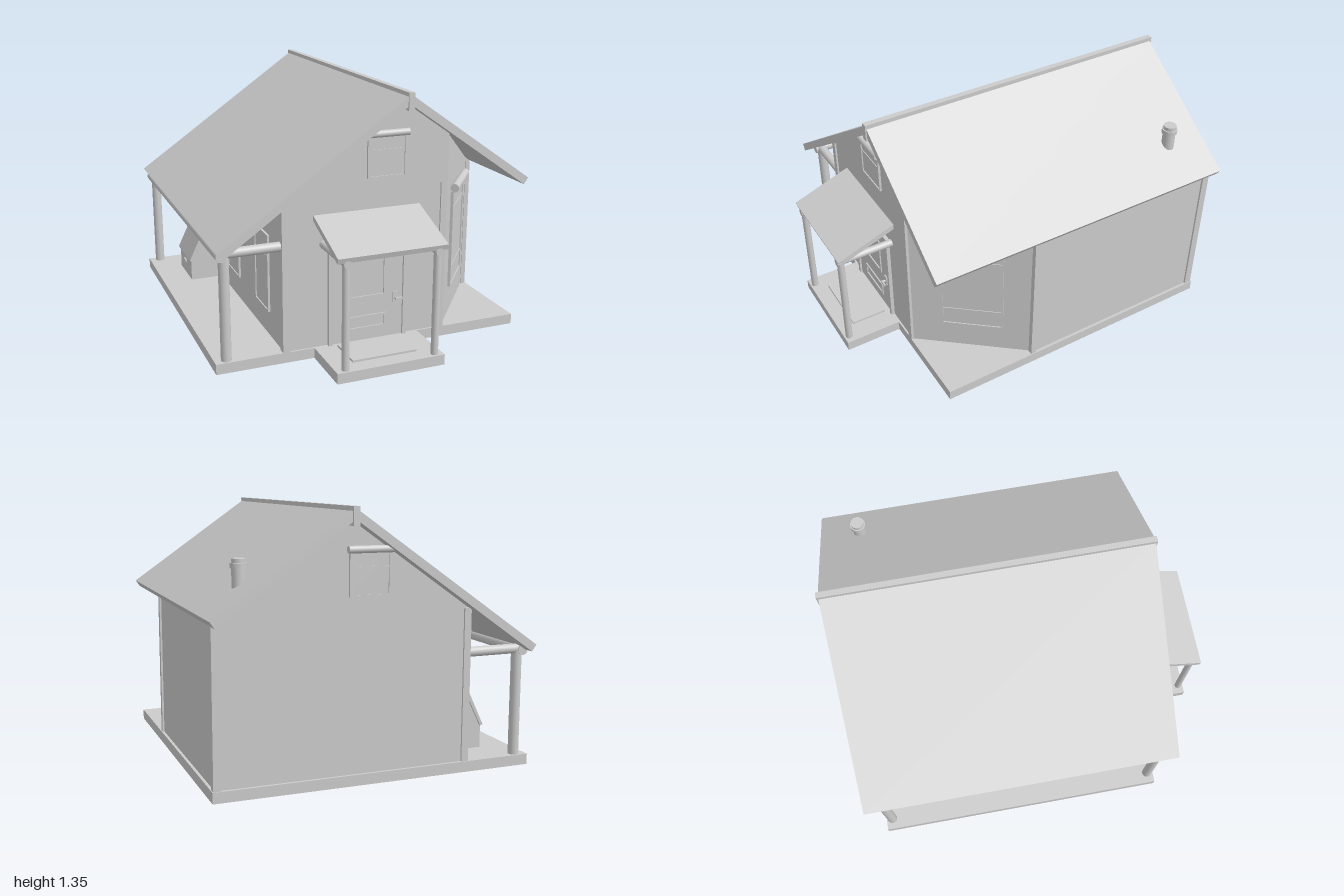
import * as THREE from 'three';

const mat = new THREE.MeshStandardMaterial({ color: 0xcccccc });
const RIDGE_X = 0.15, RIDGE_Y = 1.335, PITCH = 0.698, BASE = 0.055;
const roofTop = (x) => RIDGE_Y - PITCH * Math.abs(x - RIDGE_X);

function add(parent, name, geometry, x = 0, y = 0, z = 0) {
  const mesh = new THREE.Mesh(geometry, mat);
  mesh.name = name;
  mesh.position.set(x, y, z);
  parent.add(mesh);
  return mesh;
}

// Box given by its limits on each axis
function box(parent, name, x0, x1, y0, y1, z0, z1) {
  return add(parent, name, new THREE.BoxGeometry(x1 - x0, y1 - y0, z1 - z0),
    (x0 + x1) / 2, (y0 + y1) / 2, (z0 + z1) / 2);
}

// Round pole between two points
function pole(parent, name, a, b, r) {
  const p = new THREE.Vector3(...a), q = new THREE.Vector3(...b);
  const mesh = add(parent, name, new THREE.CylinderGeometry(r, r, p.distanceTo(q), 20));
  mesh.position.copy(p).lerp(q, 0.5);
  mesh.quaternion.setFromUnitVectors(new THREE.Vector3(0, 1, 0), q.sub(p).normalize());
  return mesh;
}

const shapeOf = (pts) => new THREE.Shape(pts.map(([x, y]) => new THREE.Vector2(x, y)));

// Side profile in x/y, extruded from z0 to z1
function slab(parent, name, pts, z0, z1) {
  const g = new THREE.ExtrudeGeometry(shapeOf(pts), { depth: z1 - z0, bevelEnabled: false });
  return add(parent, name, g, 0, 0, z0);
}

// Footprint in x/z raised until it meets the sloping roof
function wallBlock(parent, name, pts) {
  const g = new THREE.ExtrudeGeometry(shapeOf(pts.map(([x, z]) => [x, -z])), { depth: 1, bevelEnabled: false });
  g.rotateX(-Math.PI / 2);
  const p = g.attributes.position;
  for (let i = 0; i < p.count; i++) {
    p.setY(i, p.getY(i) > 0.5 ? roofTop(p.getX(i)) - 0.04 : BASE - 0.01);
  }
  g.computeVertexNormals();
  return add(parent, name, g);
}

// Flat rectangular frame centred on the origin
function frame(parent, name, w, h, t, depth, x = 0, y = 0, z = 0) {
  const s = shapeOf([[-w / 2, -h / 2], [w / 2, -h / 2], [w / 2, h / 2], [-w / 2, h / 2]]);
  const a = w / 2 - t, b = h / 2 - t;
  s.holes.push(new THREE.Path([[-a, -b], [-a, b], [a, b], [a, -b]].map(([u, v]) => new THREE.Vector2(u, v))));
  return add(parent, name, new THREE.ExtrudeGeometry(s, { depth, bevelEnabled: false }), x, y, z);
}

// Window facing local +z, with crossbars at heights above its sill and a rolled blind on top
function makeWindow(parent, name, w, h, bars, blind, pos, turn) {
  const g = new THREE.Group();
  g.name = name;
  frame(g, 'windowFrame', w, h, 0.008, 0.012);
  box(g, 'windowPane', -w / 2, w / 2, -h / 2, h / 2, -0.01, 0.006);
  for (const b of bars) box(g, 'windowBar', -w / 2, w / 2, b - h / 2 - 0.004, b - h / 2 + 0.004, 0, 0.01);
  if (blind) pole(g, 'rolledBlind', [-w / 2 - 0.01, h / 2 + blind, blind * 0.8], [w / 2 + 0.01, h / 2 + blind, blind * 0.8], blind);
  g.position.set(...pos);
  g.rotation.y = turn;
  parent.add(g);
}

export function createModel() {
  const house = new THREE.Group();
  house.name = 'house';

  // Floor plates
  box(house, 'foundation', -0.85, 0.83, 0, BASE, -0.935, 0.69);
  box(house, 'entranceFloor', -0.335, 0.245, 0, BASE, 0.69, 1);

  // Walls, with one front corner cut off at an angle
  wallBlock(house, 'leftWalls', [[-0.495, 0.68], [RIDGE_X, 0.68], [RIDGE_X, -0.92], [-0.495, -0.92]]);
  wallBlock(house, 'rightWalls', [[RIDGE_X, 0.68], [0.395, 0.68], [0.815, 0.16], [0.815, -0.92], [RIDGE_X, -0.92]]);

  // Front gable with corner boards around the recessed lower wall
  const wallTop = (x) => roofTop(x) - 0.04;
  slab(house, 'frontGable', [[-0.5, BASE], [-0.465, BASE], [-0.465, 0.86], [0.365, 0.86], [0.365, BASE], [0.4, BASE],
    [0.4, wallTop(0.4)], [RIDGE_X, wallTop(RIDGE_X)], [-0.5, wallTop(-0.5)]], 0.675, 0.69);

  // Corner boards
  box(house, 'backLeftCorner', -0.502, -0.465, BASE, 0.84, -0.93, -0.89);
  box(house, 'backRightCorner', 0.785, 0.825, BASE, 0.83, -0.93, -0.89);
  box(house, 'sideCorner', 0.798, 0.825, BASE, 0.83, 0.155, 0.185);
  box(house, 'frontLeftCorner', -0.502, -0.48, BASE, 0.84, 0.65, 0.69);

  // Roof slopes and ridge
  for (const [name, s, run] of [['leftRoof', -1, 0.995], ['rightRoof', 1, 0.695]]) {
    const ex = RIDGE_X + s * run, ey = roofTop(ex);
    slab(house, name, [[RIDGE_X, RIDGE_Y], [ex, ey], [ex - s * 0.024, ey - 0.034], [RIDGE_X, RIDGE_Y - 0.051]], -0.99, 0.75);
  }
  box(house, 'ridgeBeam', 0.135, 0.167, 1.255, 1.345, -1, 0.757);

  // Chimney pipe with collar
  pole(house, 'chimneyPipe', [0.645, 0.95, -0.77], [0.645, 1.105, -0.77], 0.034);
  pole(house, 'chimneyCollar', [0.645, 1.06, -0.77], [0.645, 1.085, -0.77], 0.041);

  // Windows
  const cornerTurn = Math.atan2(0.52, 0.42);
  makeWindow(house, 'cornerWindow', 0.327, 0.54, [0.11, 0.445], 0.023, [0.607, 0.485, 0.423], cornerTurn);
  makeWindow(house, 'frontAtticWindow', 0.21, 0.205, [0.14], 0.018, [0.05, 1.022, 0.69], 0);
  makeWindow(house, 'backAtticWindow', 0.21, 0.205, [0.14], 0.018, [0.05, 1.022, -0.922], Math.PI);
  for (const z of [-0.17, 0.36]) {
    makeWindow(house, 'verandaWindow', 0.22, 0.42, [0.3], 0, [-0.495, 0.4, z], -Math.PI / 2);
  }

  // Veranda posts and beams
  for (const z of [0.655, -0.9]) {
    pole(house, 'verandaPost', [-0.788, BASE, z], [-0.788, 0.61, z], 0.027);
    pole(house, 'verandaCrossBeam', [-0.8, 0.61, z], [-0.49, 0.61, z], 0.025);
  }
  pole(house, 'verandaBeam', [-0.808, 0.605, -0.93], [-0.808, 0.605, 0.69], 0.027);

  // Storage bin with a sloping lid against the veranda wall
  slab(house, 'storageBin', [[-0.49, BASE], [-0.685, BASE], [-0.685, 0.18], [-0.51, 0.54], [-0.49, 0.54]], -0.74, -0.47);
  slab(house, 'storageLid', [[-0.695, 0.18], [-0.68, 0.175], [-0.497, 0.545], [-0.512, 0.56]], -0.75, -0.46);
  box(house, 'storageHandle', -0.695, -0.68, 0.13, 0.145, -0.63, -0.58);

  // Entrance door
  const door = new THREE.Group();
  door.name = 'entranceDoor';
  box(door, 'doorLeaf', -0.24, 0.155, BASE, 0.585, 0.67, 0.688);
  for (const [x0, x1] of [[-0.26, -0.24], [0.155, 0.175]]) box(door, 'doorJamb', x0, x1, BASE, 0.6, 0.67, 0.7);
  box(door, 'doorHead', -0.26, 0.175, 0.583, 0.605, 0.67, 0.7);
  frame(door, 'upperPanelFrame', 0.215, 0.225, 0.014, 0.008, -0.047, 0.397, 0.687);
  frame(door, 'lowerPanelFrame', 0.215, 0.075, 0.012, 0.008, -0.047, 0.153, 0.687);
  box(door, 'handlePlate', 0.1, 0.126, 0.24, 0.298, 0.685, 0.695);
  pole(door, 'handleStem', [0.112, 0.265, 0.69], [0.112, 0.265, 0.717], 0.006);
  box(door, 'handleLever', 0.106, 0.146, 0.259, 0.271, 0.709, 0.719);
  house.add(door);
  box(house, 'doormat', -0.22, 0.13, BASE, 0.066, 0.72, 0.915);

  // Entrance canopy on two posts
  for (const x of [-0.283, 0.2]) {
    pole(house, 'canopyPost', [x, BASE, 0.972], [x, 0.6, 0.972], 0.019);
    pole(house, 'canopyBeam', [x, 0.602, 0.68], [x, 0.602, 0.995], 0.02);
  }
  const canopy = slab(house, 'canopyRoof', [[-0.68, 0.757], [-1, 0.637], [-0.992, 0.61], [-0.68, 0.727]], 0, 0.58);
  canopy.rotation.y = Math.PI / 2;
  canopy.position.set(-0.335, 0, 0);

  return house;
}
